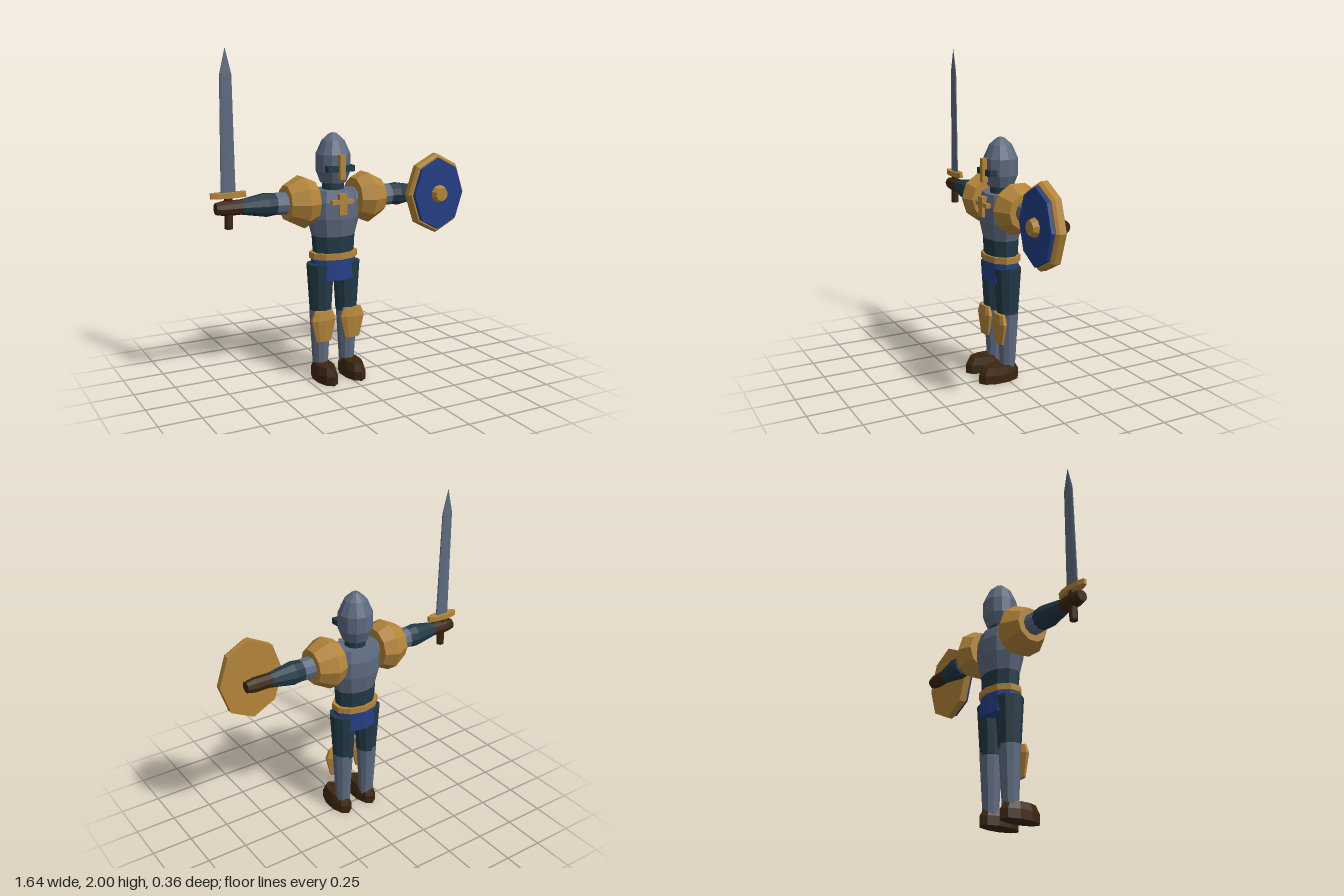
import * as THREE from 'three';

const paint = (name, color) => {
  const m = new THREE.MeshStandardMaterial({ color, flatShading: true });
  m.name = name;
  return m;
};

export function createModel() {
  const steel = paint('steel', 0x5d6a7f);
  const gold = paint('gold', 0xb3853a);
  const blue = paint('blue', 0x233e84);
  const cloth = paint('dark cloth', 0x223946);
  const leather = paint('brown leather', 0x3c2511);

  const model = new THREE.Group();
  model.name = 'knight';
  // everything is placed relative to the spine
  const body = new THREE.Group();
  body.name = 'body';
  body.position.set(-0.053, 0, -0.018);
  model.add(body);

  // closed faceted solid turned around y; profile is [radius, height] from bottom to top
  const turned = (name, mat, profile, sides = 10, sx = 1, sz = 1) => {
    const pts = [[0, profile[0][1]], ...profile, [0, profile[profile.length - 1][1]]];
    const geo = new THREE.LatheGeometry(pts.map(([r, y]) => new THREE.Vector2(r, y)), sides);
    geo.scale(sx, 1, sz);
    const mesh = new THREE.Mesh(geo, mat);
    mesh.name = name;
    body.add(mesh);
    return mesh;
  };
  const box = (name, mat, w, h, d, x, y, z) => {
    const mesh = new THREE.Mesh(new THREE.BoxGeometry(w, h, d), mat);
    mesh.name = name;
    mesh.position.set(x, y, z);
    body.add(mesh);
    return mesh;
  };

  // head
  turned('helmet', steel, [[0.078, 1.21], [0.105, 1.28], [0.105, 1.38], [0.068, 1.462], [0.022, 1.503], [0.004, 1.507]], 12);
  turned('neck', cloth, [[0.066, 1.14], [0.066, 1.23]]);
  box('visorSlit', cloth, 0.175, 0.037, 0.05, 0, 1.301, 0.09);
  box('visorRidge', gold, 0.037, 0.145, 0.035, 0, 1.312, 0.113);

  // torso
  turned('breastplate', steel, [[0.137, 0.89], [0.167, 1.0], [0.167, 1.1], [0.14, 1.17]], 10, 1, 0.74);
  turned('waist', cloth, [[0.128, 0.74], [0.137, 0.89]], 10, 1, 0.74);
  turned('belt', gold, [[0.154, 0.752], [0.154, 0.79]], 10, 1, 0.72);
  turned('skirt', blue, [[0.15, 0.625], [0.14, 0.755]], 10, 1, 0.71);
  box('chestCrossUpright', gold, 0.05, 0.125, 0.045, 0, 1.092, 0.117);
  box('chestCrossBar', gold, 0.143, 0.027, 0.035, 0, 1.106, 0.117);

  for (const s of [-1, 1]) {
    const side = s > 0 ? 'left' : 'right';

    // legs
    turned(side + 'Thigh', cloth, [[0.066, 0.41], [0.085, 0.72]]).position.x = s * 0.088;
    turned(side + 'Shin', steel, [[0.046, 0.06], [0.067, 0.43]]).position.x = s * 0.091;
    turned(side + 'KneeGuard', gold, [[0.05, 0.245], [0.083, 0.38], [0.061, 0.435]], 10, 1, 0.38)
      .position.set(s * 0.098, 0, 0.06);
    turned(side + 'Boot', leather, [[1, 0], [1, 0.055], [0.8, 0.102]], 10, 0.064, 0.136)
      .position.set(s * 0.095, 0, 0.063);

    // arms, turned outwards along x
    const arm = [
      turned(side + 'Pauldron', gold, [[0.124, 0.137], [0.16, 0.214], [0.107, 0.315]]),
      turned(side + 'UpperArm', steel, [[0.068, 0.1], [0.066, 0.385]]),
      turned(side + 'Forearm', cloth, [[0.064, 0.384], [0.071, 0.443], [0.045, 0.59]]),
      turned(side + 'Hand', leather, [[0.044, 0.583], [0.045, 0.69], [0.034, 0.745]]),
    ];
    for (const part of arm) {
      part.position.y = 1.106;
      part.rotation.z = -s * Math.PI / 2;
    }
  }

  // sword in the right hand
  const sword = [
    turned('swordGrip', leather, [[0.024, 0.985], [0.024, 1.17]]),
    turned('swordGuard', gold, [[0.111, 1.165], [0.111, 1.197]], 10, 1, 0.28),
    turned('swordBlade', steel, [[0.046, 1.195], [0.037, 1.855], [0.001, 2.0]], 10, 1, 0.24),
  ];
  for (const part of sword) part.position.x = -0.667;

  // shield in front of the left hand, facing forwards
  const shield = [
    turned('shieldRim', gold, [[0.25, 0.066], [0.25, 0.105], [0.235, 0.122]], 8, 0.81),
    turned('shieldFace', blue, [[0.228, 0.11], [0.222, 0.143]], 8, 0.79),
    turned('shieldBoss', gold, [[0.058, 0.14], [0.042, 0.176]]),
  ];
  for (const part of shield) {
    part.position.set(0.669, 1.106, 0);
    part.rotation.x = Math.PI / 2;
  }

  return model;
}
